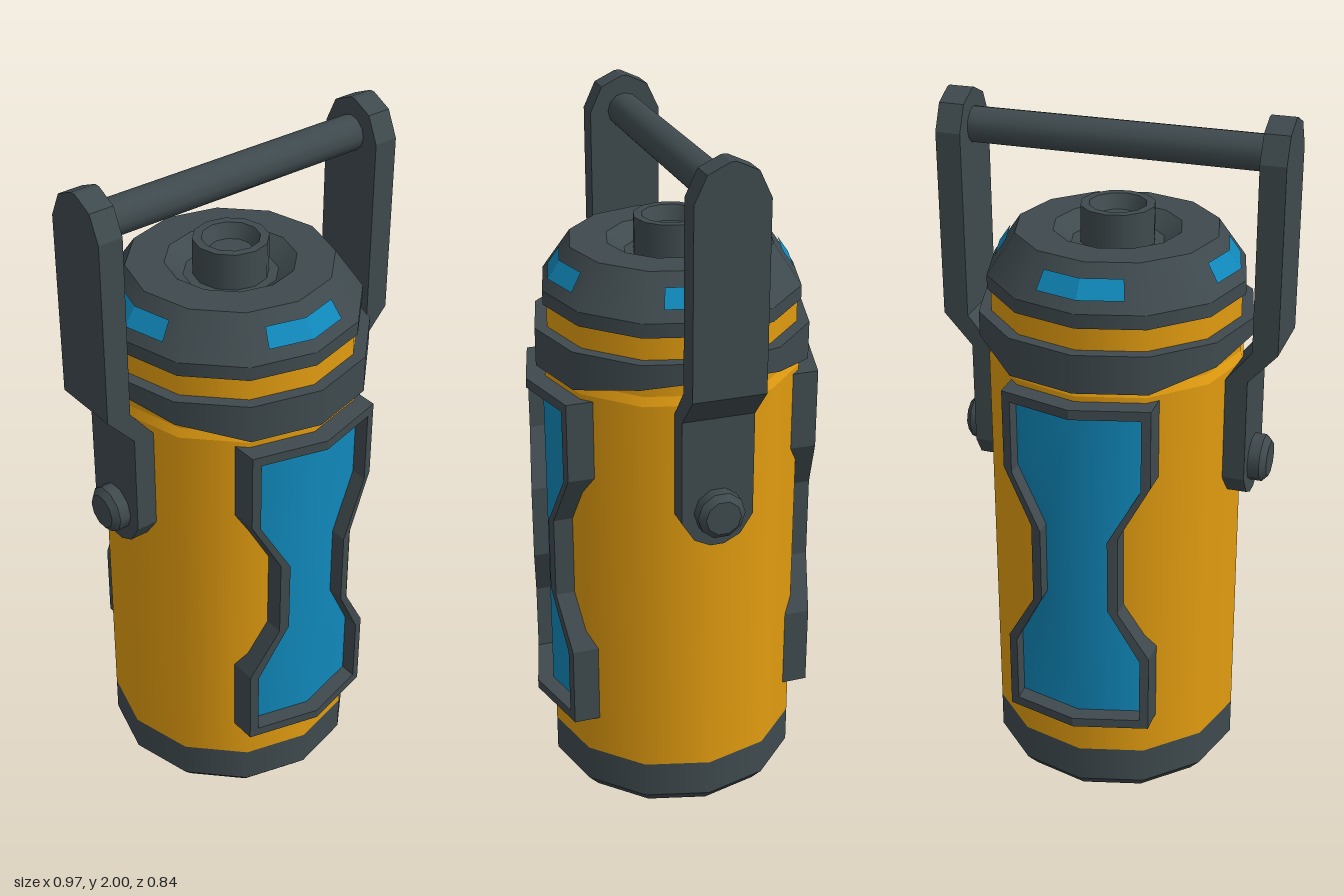
import * as THREE from 'three';
import { mergeGeometries } from 'three/addons/utils/BufferGeometryUtils.js';

const SIDES = 12;
const SLOPE = Math.tan(Math.PI / 12); // how far a front facet falls back per unit of x

// Turned part: smooth around the axis, sharp between profile segments
function turned(profile, sides = SIDES) {
  const parts = [];
  for (let i = 0; i < profile.length - 1; i++) {
    const pair = [profile[i], profile[i + 1]].map(([r, y]) => new THREE.Vector2(r, y));
    parts.push(new THREE.LatheGeometry(pair, sides));
  }
  return mergeGeometries(parts);
}

// Rectangular sections [y, half depth, inner x, outer x] joined into a solid
function loftedArm(rows) {
  const pos = [];
  const ring = ([y, h, a, b]) => [[a, y, h], [b, y, h], [b, y, -h], [a, y, -h]];
  const quad = (a, b, c, d) => pos.push(...a, ...b, ...c, ...a, ...c, ...d);
  for (let i = 0; i < rows.length - 1; i++) {
    const lo = ring(rows[i]), hi = ring(rows[i + 1]);
    for (let k = 0; k < 4; k++) {
      const n = (k + 1) % 4;
      quad(lo[k], lo[n], hi[n], hi[k]);
    }
  }
  const bottom = ring(rows[0]), top = ring(rows[rows.length - 1]);
  quad(bottom[3], bottom[2], bottom[1], bottom[0]);
  quad(top[0], top[1], top[2], top[3]);
  const g = new THREE.BufferGeometry();
  g.setAttribute('position', new THREE.Float32BufferAttribute(pos, 3));
  g.computeVertexNormals();
  return g;
}

// Folds a flat piece around the front corner of the twelve-sided body
function fold(g, z0) {
  const p = g.attributes.position;
  for (let i = 0; i < p.count; i++) p.setZ(i, p.getZ(i) + z0 - Math.abs(p.getX(i)) * SLOPE);
  g.computeVertexNormals();
  return g;
}

export function createModel() {
  const model = new THREE.Group();
  const material = (name, color) => {
    const m = new THREE.MeshStandardMaterial({ color });
    m.name = name;
    return m;
  };
  const dark = material('dark grey', 0x3f4a4e);
  const orange = material('orange', 0xe29c10);
  const blue = material('blue', 0x1088ba);
  const add = (name, geometry, mat, parent = model) => {
    const mesh = new THREE.Mesh(geometry, mat);
    mesh.name = name;
    parent.add(mesh);
    return mesh;
  };

  // Flask
  add('base', turned([[0, 0], [0.33, 0], [0.365, 0.04], [0.365, 0.15]]), dark);
  add('body', turned([[0.365, 0.15], [0.365, 1.305], [0.355, 1.33], [0.355, 1.5]]), orange);
  add('lid', turned([
    [0.34, 1.5], [0.365, 1.5], [0.365, 1.54], [0.285, 1.655], [0.18, 1.655], [0.13, 1.615], [0.1, 1.615],
  ]), dark);
  add('spout', turned([
    [0.104, 1.61], [0.104, 1.72], [0.08, 1.72], [0.06, 1.68], [0, 1.68],
  ]), dark);

  // Collar whose lower edge dips at front and back
  const collar = turned([[0.35, 1.385], [0.39, 1.385], [0.39, 1.435], [0.35, 1.435]]);
  const cp = collar.attributes.position;
  for (let i = 0; i < cp.count; i++) {
    if (cp.getY(i) > 1.4) continue;
    const c = Math.abs(cp.getZ(i)) / Math.hypot(cp.getX(i), cp.getZ(i));
    cp.setY(i, 1.385 - 0.06 * THREE.MathUtils.clamp((c - 0.3) / 0.56, 0, 1));
  }
  add('collar', collar, dark);

  // Lid lights: thin strips bent over a corner of the lid slope
  const strip = [];
  const corner = (r, y, t) => {
    const a = Math.PI / 6 * Math.sign(t), k = Math.abs(t);
    return [r * Math.sin(a) * k, y, r * (1 - k + Math.cos(a) * k)];
  };
  for (const [t0, t1] of [[-0.7, 0], [0, 0.7]]) {
    const a = corner(0.349, 1.572, t0), b = corner(0.349, 1.572, t1);
    const c = corner(0.315, 1.621, t1), d = corner(0.315, 1.621, t0);
    strip.push(...a, ...b, ...c, ...a, ...c, ...d);
  }
  const stripGeometry = new THREE.BufferGeometry();
  stripGeometry.setAttribute('position', new THREE.Float32BufferAttribute(strip, 3));
  stripGeometry.computeVertexNormals();
  for (let i = 0; i < 4; i++) add('lidLight', stripGeometry, blue).rotation.y = i * Math.PI / 2;

  // Hourglass window and its frame, made as halves on each side of the corner
  const outer = [[0, 1.29], [0.21, 1.29], [0.21, 1.06], [0.125, 0.9], [0.125, 0.66], [0.21, 0.51], [0.21, 0.27], [0, 0.27]];
  const inner = [[0, 1.262], [0.185, 1.262], [0.185, 1.05], [0.097, 0.89], [0.097, 0.67], [0.185, 0.5], [0.185, 0.298], [0, 0.298]];
  const shape = (pts, s) => new THREE.Shape(pts.map(([x, y]) => new THREE.Vector2(x * s, y)));
  for (const turn of [0, Math.PI]) {
    const panel = new THREE.Group();
    panel.name = turn ? 'backPanel' : 'frontPanel';
    panel.rotation.y = turn;
    model.add(panel);
    for (const s of [1, -1]) {
      const ring = shape([...outer, ...inner.slice().reverse()], s);
      const frame = new THREE.ExtrudeGeometry(ring, { depth: 0.075, bevelEnabled: false });
      add('panelFrame', fold(frame, 0.345), dark, panel);
      const pane = fold(new THREE.ShapeGeometry(shape(inner, s)), 0.372);
      const p = pane.attributes.position;
      for (let i = 0; i < p.count; i++) {
        const l = Math.hypot(p.getX(i), p.getZ(i));
        pane.attributes.normal.setXYZ(i, p.getX(i) / l, 0, p.getZ(i) / l);
      }
      add('panelWindow', pane, blue, panel);
    }
  }

  // Carrying handle
  const arm = loftedArm([
    [0.905, 0.02, 0.34, 0.402], [0.928, 0.066, 0.34, 0.402], [0.985, 0.102, 0.34, 0.402],
    [1.285, 0.102, 0.34, 0.402], [1.375, 0.102, 0.412, 0.483], [1.9, 0.102, 0.412, 0.483],
    [1.972, 0.068, 0.412, 0.483], [2, 0.008, 0.412, 0.483],
  ]);
  const bolt = turned([[0.068, 0], [0.068, 0.035], [0.05, 0.052], [0, 0.052]], 10);
  bolt.rotateZ(-Math.PI / 2);
  bolt.translate(0.4, 1.01, 0);
  for (const turn of [0, Math.PI]) {
    const side = new THREE.Group();
    side.name = turn ? 'rightHandleSide' : 'leftHandleSide';
    side.rotation.y = turn;
    model.add(side);
    add('handleArm', arm, dark, side);
    add('pivotBolt', bolt, dark, side);
  }
  const bar = new THREE.CylinderGeometry(0.05, 0.05, 0.84, SIDES);
  bar.rotateZ(Math.PI / 2);
  add('handleBar', bar, dark).position.y = 1.9;

  return model;
}
